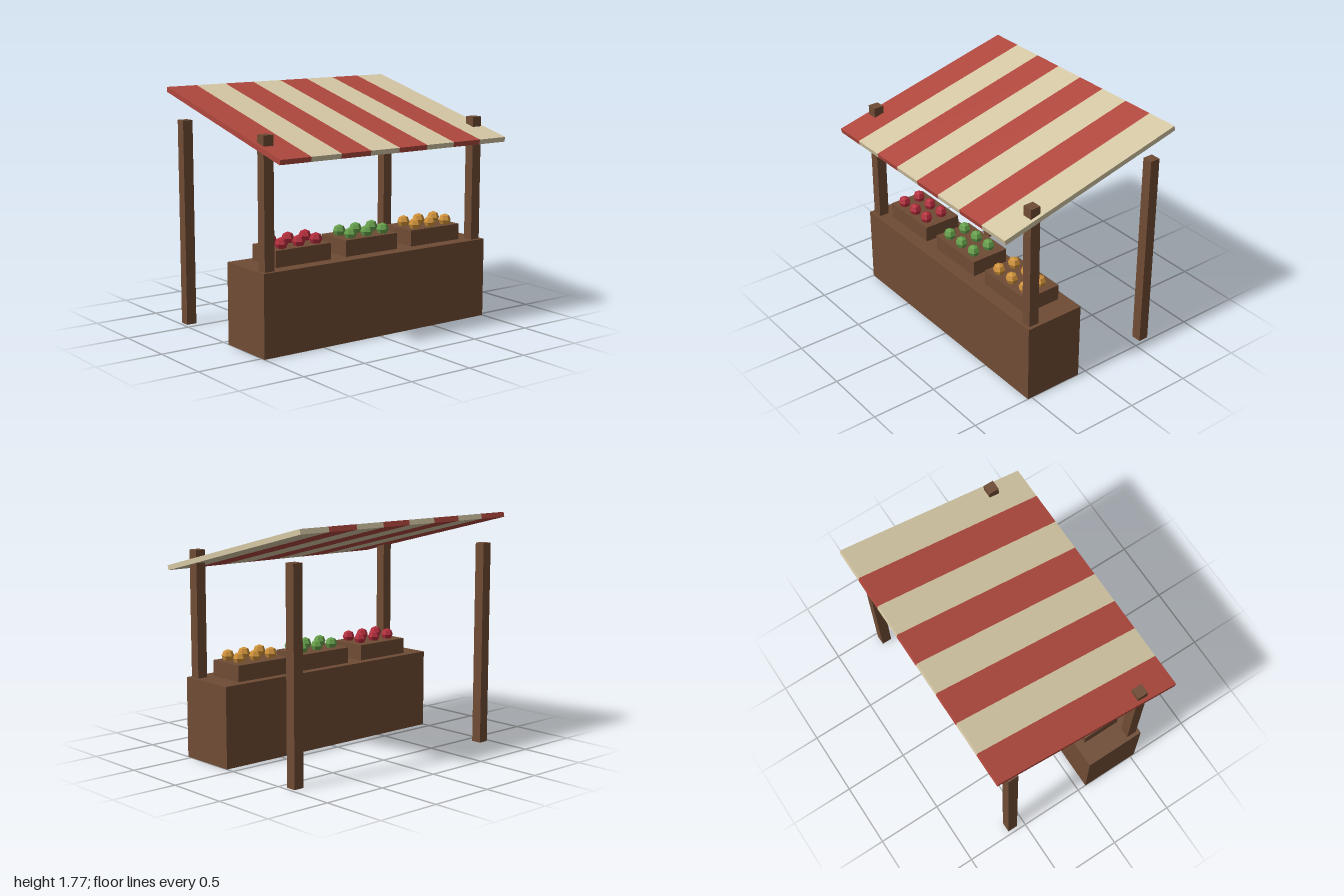
import * as THREE from 'three';

const flat = (name, color) => {
  const m = new THREE.MeshStandardMaterial({ color });
  m.name = name;
  return m;
};

export function createModel() {
  const stall = new THREE.Group();
  stall.name = 'marketStall';

  const wood = flat('brownWood', 0x6f4c35);
  const redCloth = flat('redCloth', 0xb0483e);
  const creamCloth = flat('creamCloth', 0xd6c8a6);
  const fruitColours = [
    flat('redFruit', 0xb42c3c),
    flat('greenFruit', 0x659f4a),
    flat('orangeFruit', 0xcf9138),
  ];

  const box = (name, material, w, h, d, x, y, z, parent = stall) => {
    const mesh = new THREE.Mesh(new THREE.BoxGeometry(w, h, d), material);
    mesh.name = name;
    mesh.position.set(x, y, z);
    parent.add(mesh);
    return mesh;
  };

  // Counter
  box('counter', wood, 2, 0.6, 0.466, 0, 0.3, 0.302);

  // Four posts; the front pair pokes through the awning
  for (const side of [-1, 1]) {
    box('frontPost', wood, 0.079, 1.535, 0.079, side * 0.934, 0.7675, 0.468);
    box('backPost', wood, 0.079, 1.535, 0.079, side * 0.934, 0.7675, -0.6);
  }

  // Sloping awning of eight alternating stripes
  const awning = new THREE.Group();
  awning.name = 'awning';
  awning.position.y = 1.568;
  awning.rotation.x = THREE.MathUtils.degToRad(14);
  stall.add(awning);
  for (let i = 0; i < 8; i++) {
    box('awningStripe', i % 2 ? creamCloth : redCloth, 0.25, 0.037, 1.527, -0.875 + i * 0.25, 0, 0, awning);
  }

  // Three crates, each with two rows of three faceted fruits
  const fruitShape = new THREE.SphereGeometry(0.047, 6, 4).rotateY(Math.PI / 2).toNonIndexed();
  fruitShape.computeVertexNormals();
  fruitColours.forEach((material, i) => {
    const x = (i - 1) * 0.6;
    box('crate', wood, 0.467, 0.12, 0.297, x, 0.66, 0.284);
    for (const column of [-1, 0, 1]) {
      for (const z of [0.37, 0.235]) {
        const fruit = new THREE.Mesh(fruitShape, material);
        fruit.name = 'fruit';
        fruit.position.set(x + column * 0.147, 0.751, z);
        stall.add(fruit);
      }
    }
  });

  return stall;
}
